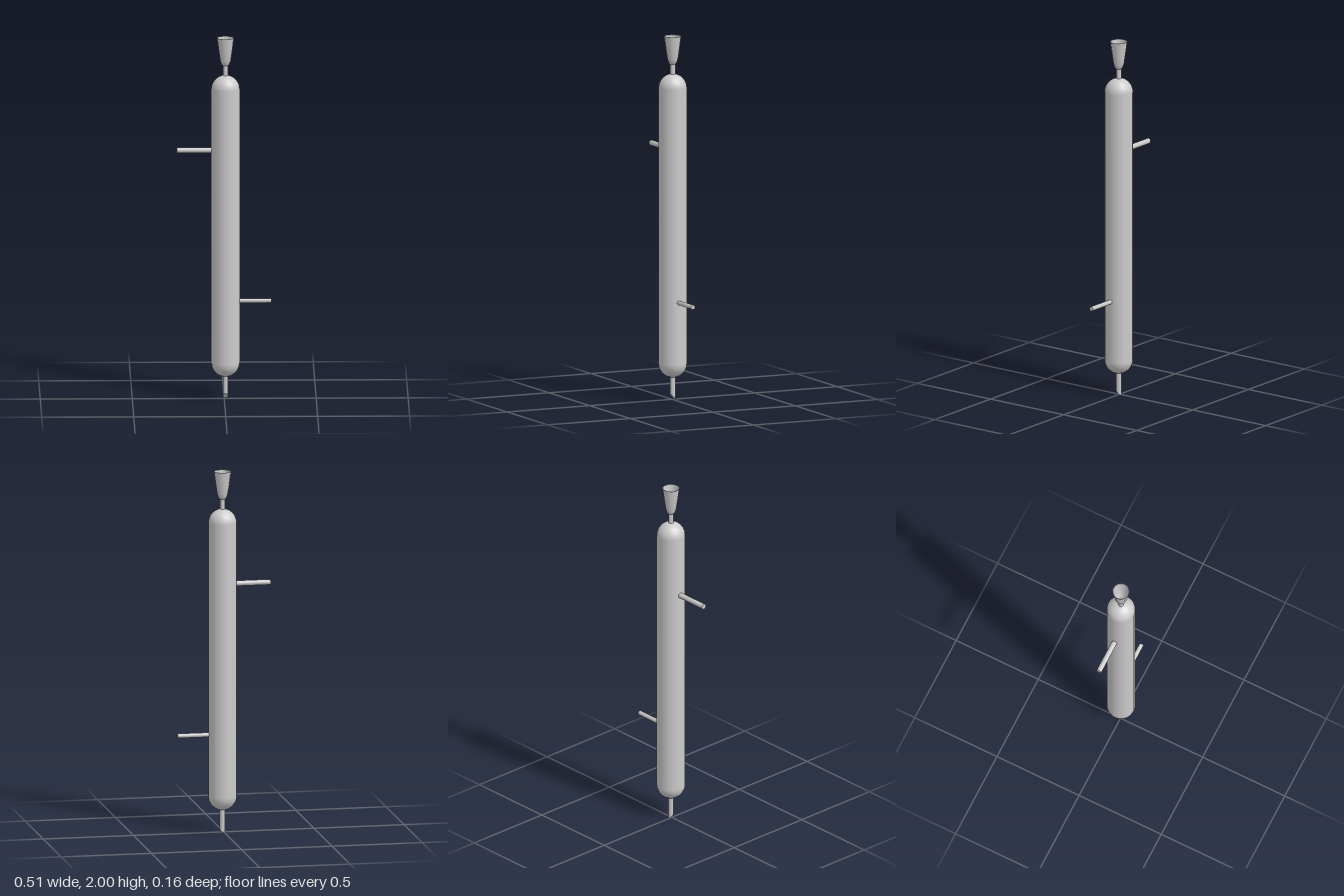
import * as THREE from 'three';

const material = new THREE.MeshStandardMaterial({ color: 0xcccccc });
const openMaterial = new THREE.MeshStandardMaterial({ color: 0xcccccc, side: THREE.DoubleSide });

const AXIS_X = 0.007; // the column sits slightly off centre, the side tubes differ in length
const BODY_R = 0.078;
const BODY_LOW = 0.2;
const BODY_HIGH = 1.715;

export function createModel() {
  const model = new THREE.Group();
  const column = new THREE.Group();
  column.name = 'column';
  column.position.x = AXIS_X;
  model.add(column);

  const add = (parent, name, geometry, mat = material) => {
    const mesh = new THREE.Mesh(geometry, mat);
    mesh.name = name;
    parent.add(mesh);
    return mesh;
  };
  const lathe = (points, sides) =>
    new THREE.LatheGeometry(points.map(([r, y]) => new THREE.Vector2(r, y)), sides);

  // Long straight jacket
  const jacket = add(column, 'jacket',
    new THREE.CylinderGeometry(BODY_R, BODY_R, BODY_HIGH - BODY_LOW, 20, 1, true));
  jacket.position.y = (BODY_LOW + BODY_HIGH) / 2;

  // Domed ends
  const dome = new THREE.SphereGeometry(BODY_R, 20, 6, 0, Math.PI * 2, 0, Math.PI / 2);
  const topDome = add(column, 'topDome', dome);
  topDome.position.y = BODY_HIGH;
  const bottomDome = add(column, 'bottomDome', dome);
  bottomDome.position.y = BODY_LOW;
  bottomDome.rotation.x = Math.PI;

  // Stem under the funnel
  const stem = add(column, 'stem', new THREE.CylinderGeometry(0.014, 0.014, 0.08, 12));
  stem.position.y = 1.815;

  // Flared funnel with a thin wall
  add(column, 'funnel', lathe(
    [[0.014, 1.845], [0.022, 1.853], [0.03, 1.875], [0.039, 1.935], [0.048, 2]], 11), openMaterial);
  add(column, 'funnelRim', lathe([[0.048, 2], [0.045, 2]], 11), openMaterial);
  add(column, 'funnelLining', lathe(
    [[0.045, 2], [0.036, 1.935], [0.027, 1.877], [0.014, 1.855]], 11), openMaterial);

  // Drip tube, its lower end cut at a slant
  const drip = new THREE.CylinderGeometry(0.015, 0.015, 0.15, 14);
  drip.translate(0, 0.075, 0);
  const pos = drip.attributes.position;
  const normal = drip.attributes.normal;
  for (let i = 0; i < pos.count; i++) {
    if (pos.getY(i) > 0.01) continue;
    pos.setY(i, 0.015 + pos.getZ(i));
    if (normal.getY(i) < -0.5) normal.setXYZ(i, 0, -Math.SQRT1_2, Math.SQRT1_2);
  }
  add(column, 'dripTube', drip);

  // Side tubes, one on each side at different heights
  const sideTubes = [
    ['upperRightTube', -0.258, 1.376, 0.015],
    ['lowerLeftTube', 0.256, 0.542, 0.0125],
  ];
  for (const [name, endX, y, radius] of sideTubes) {
    const startX = AXIS_X + Math.sign(endX) * 0.06;
    const tube = add(model, name,
      new THREE.CylinderGeometry(radius, radius, Math.abs(endX - startX), 12));
    tube.rotation.z = Math.PI / 2;
    tube.position.set((startX + endX) / 2, y, -0.001);
  }

  return model;
}
